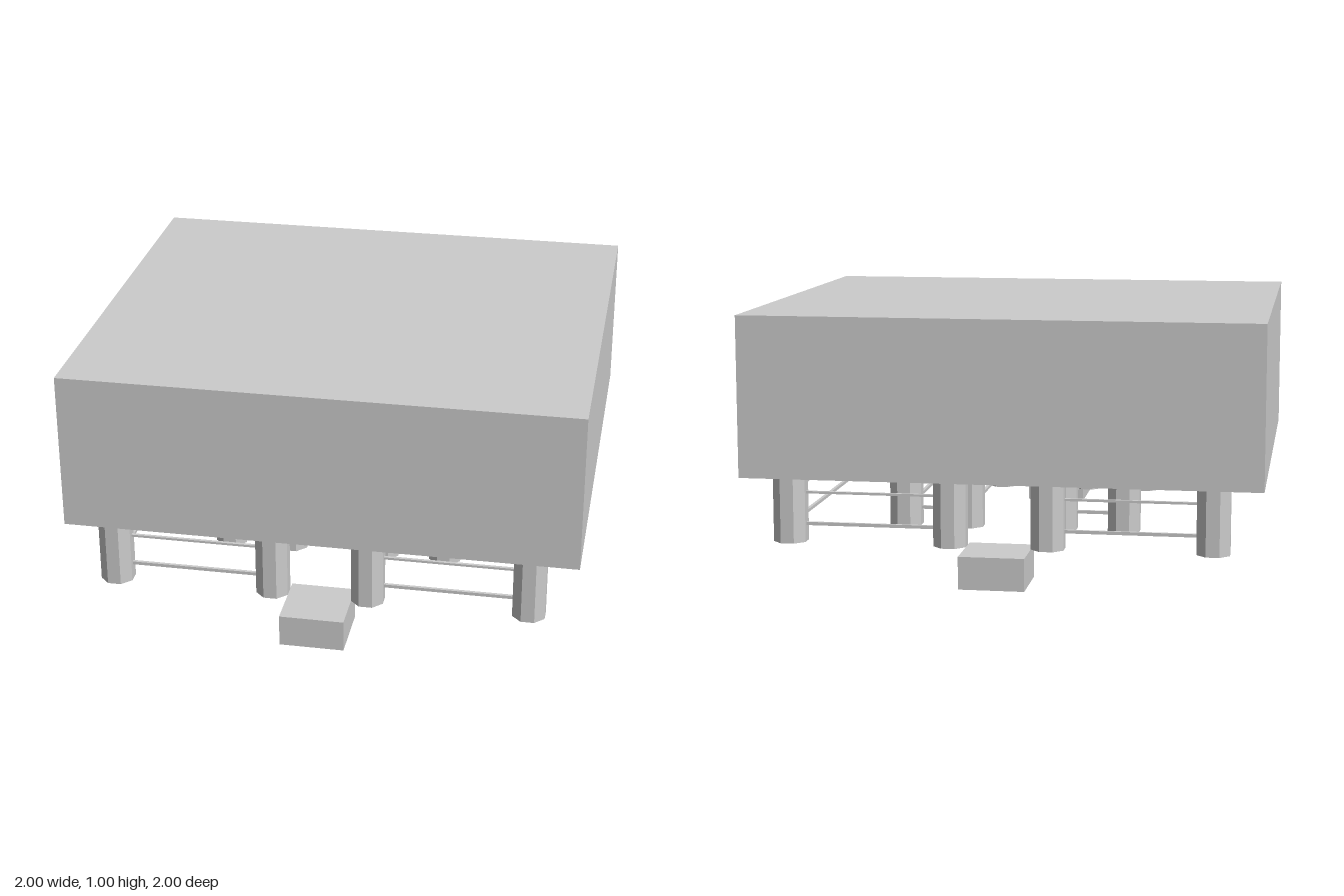
import * as THREE from 'three';

export function createModel() {
  const model = new THREE.Group();
  model.name = 'raisedBlock';
  const grey = new THREE.MeshStandardMaterial({ color: 0xcccccc, flatShading: true });
  grey.name = 'plain grey';

  const add = (name, geometry, x, y, z) => {
    const mesh = new THREE.Mesh(geometry, grey);
    mesh.name = name;
    mesh.position.set(x, y, z);
    model.add(mesh);
  };
  const box = (name, w, h, d, x, y, z) => add(name, new THREE.BoxGeometry(w, h, d), x, y, z);

  // Main body
  box('body', 2, 0.625, 1.75, 0, 0.6875, 0);

  // Octagonal posts with flat sides facing the axes
  const half = 0.0625;
  const radius = half / Math.cos(Math.PI / 8);
  const postGeometry = new THREE.CylinderGeometry(radius, radius, 0.25, 8);
  postGeometry.rotateY(Math.PI / 8);
  const post = (name, x, z) => add(name, postGeometry, x, 0.25, z);

  // Upper and lower rails: centre height and thickness
  const rails = [[0.316, 0.009], [0.1935, 0.0125]];
  const railX = (name, x0, x1, z) => rails.forEach(([y, t]) =>
    box(name, Math.abs(x1 - x0) - 2 * half, t, 0.0125, (x0 + x1) / 2, y, z));
  const railZ = (name, x, z) => rails.forEach(([y, t]) =>
    box(name, 0.0125, t, 2 * (z - half), x, y, 0));

  for (const sx of [-1, 1]) {
    for (const sz of [-1, 1]) {
      // Outer fence on the front and back, open in the middle
      post('cornerPost', sx * 0.8125, sz * 0.8125);
      post('gatePost', sx * 0.1875, sz * 0.8125);
      railX('outerRail', sx * 0.8125, sx * 0.1875, sz * 0.8125);
      // Inner enclosure ends
      post('innerPost', sx * 0.4375, sz * 0.4375);
      post('innerPost', sx * 0.1875, sz * 0.4375);
      railX('innerRail', sx * 0.4375, sx * 0.1875, sz * 0.4375);
    }
    // Long rails along the sides
    railZ('sideRail', sx * 0.8125, 0.8125);
    railZ('innerSideRail', sx * 0.4375, 0.4375);
    railZ('innerSideRail', sx * 0.1875, 0.4375);
    // Step at each entrance
    box('step', 0.25, 0.125, 0.25, 0, 0.0625, sx * 0.875);
  }
  return model;
}
